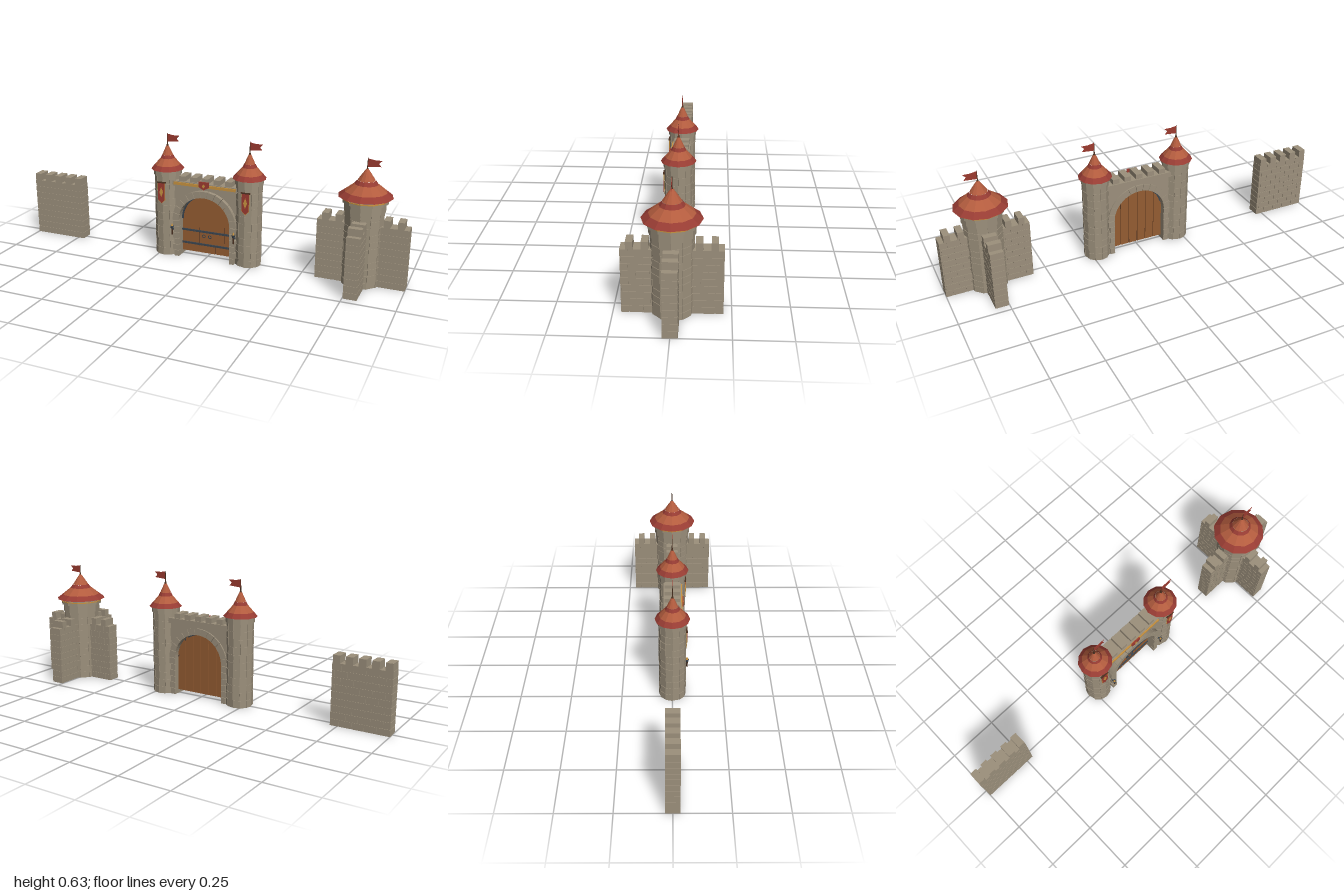
import * as THREE from 'three';
import { mergeGeometries } from 'three/addons/utils/BufferGeometryUtils.js';

const mat = (name, color, extra = {}) => new THREE.MeshStandardMaterial({ name, color, ...extra });

export function createModel() {
  const stone = mat('stone', 0x9c907c);
  const roofTile = mat('roofTile', 0xb35c3e);
  const roofBand = mat('roofBand', 0x973c33);
  const cloth = mat('cloth', 0x9c3b30, { side: THREE.DoubleSide });
  const wood = mat('wood', 0x945c32);
  const iron = mat('iron', 0x3c4650);
  const gold = mat('gold', 0xc8923f);
  const darkWood = mat('darkWood', 0x4a3020);

  const root = new THREE.Group();
  root.name = 'castleSet';

  const add = (parent, name, geo, material, x = 0, y = 0, z = 0) => {
    const m = new THREE.Mesh(geo, material);
    m.name = name;
    m.position.set(x, y, z);
    parent.add(m);
    return m;
  };
  const group = (parent, name, x = 0) => {
    const g = new THREE.Group();
    g.name = name;
    g.position.x = x;
    parent.add(g);
    return g;
  };
  const flat = (geo) => {
    const g = geo.index ? geo.toNonIndexed() : geo;
    g.computeVertexNormals();
    return g;
  };
  const box = (x0, x1, y0, y1, z0, z1) =>
    new THREE.BoxGeometry(x1 - x0, y1 - y0, z1 - z0).translate((x0 + x1) / 2, (y0 + y1) / 2, (z0 + z1) / 2);
  const drum = (r, y0, y1) => flat(new THREE.CylinderGeometry(r, r, y1 - y0, 12)).translate(0, (y0 + y1) / 2, 0);
  const extrude = (shape, depth, z = 0) =>
    new THREE.ExtrudeGeometry(shape, { depth, bevelEnabled: false, curveSegments: 16 }).translate(0, 0, z);
  const poly = (pts) => new THREE.Shape(pts.map(([x, y]) => new THREE.Vector2(x, y)));

  const T = 0.032, H = 0.298;

  // Staggered brick courses around a slightly smaller core, from x0 to x1
  function brickWall(x0, x1) {
    const rows = 9, h = H / rows, bw = 0.06, gap = 0.0015, inset = 0.0025;
    const parts = [box(x0 + inset, x1 - inset, 0, H - 0.001, -T + inset, T - inset)];
    for (let r = 0; r < rows; r++) {
      for (let x = x0 - (r % 2) * bw / 2; x < x1 - 0.004; x += bw) {
        const a = Math.max(x, x0), b = Math.min(x + bw, x1);
        const ga = a > x0 ? gap : 0, gb = b < x1 ? gap : 0;
        parts.push(box(a + ga, b - gb, r * h + (r ? gap : 0), (r + 1) * h - (r < rows - 1 ? gap : 0), -T, T));
      }
    }
    return mergeGeometries(parts);
  }
  const merlons = (centres, w, y0, y1, t) =>
    mergeGeometries(centres.map((c) => box(c - w / 2, c + w / 2, y0, y1, -t, t)));

  // Faceted shaft with raised stones on each facet
  function shaft(r, top, seed) {
    const courses = 11, h = top / courses, n = 12;
    const parts = [drum(r - 0.002, 0, top).deleteAttribute('uv')];
    const apothem = r * Math.cos(Math.PI / n), w = 2 * r * Math.sin(Math.PI / n);
    for (let c = 0; c < courses; c++) {
      for (let k = 0; k < n; k++) {
        if ((c * 5 + k * 7 + seed) % 4 === 0) continue;
        const s = box(-w / 2 + 0.001, w / 2 - 0.001, c * h + (c ? 0.0015 : 0), (c + 1) * h - 0.0015, apothem - 0.004, apothem + 0.0005);
        parts.push(s.rotateY((k + 0.5) * 2 * Math.PI / n).toNonIndexed().deleteAttribute('uv'));
      }
    }
    return mergeGeometries(parts);
  }

  // Flared conical roof in coloured bands, with finial and swallowtail flag
  function roof(parent, y, sr, sy) {
    const g = group(parent, 'roof');
    g.position.y = y;
    const bands = [
      ['roofEave', roofBand, [[0, 0], [0.128, 0], [0.098, 0.023]]],
      ['roofLower', roofTile, [[0.098, 0.023], [0.054, 0.058]]],
      ['roofStripe', roofBand, [[0.055, 0.057], [0.042, 0.075]]],
      ['roofUpper', roofTile, [[0.041, 0.075], [0.031, 0.09], [0.018, 0.11], [0.007, 0.125], [0, 0.132]]],
    ];
    for (const [name, m, pts] of bands) {
      const p = pts.map(([r, h]) => new THREE.Vector2(r * sr, h * sy));
      add(g, name, flat(new THREE.LatheGeometry(p, 12)), m);
    }
    add(g, 'finial', new THREE.CylinderGeometry(0.002, 0.008, 0.02, 8), darkWood, 0, 0.132 * sy - 0.006, 0);
    add(g, 'flagPole', new THREE.CylinderGeometry(0.0012, 0.003, 0.06, 6), darkWood, 0, 0.15, 0);
    const f = poly([[0, 0.138], [0.062, 0.143], [0.05, 0.157], [0.065, 0.172], [0.03, 0.172], [0, 0.177]]);
    add(g, 'flag', extrude(f, 0.002, -0.001), cloth);
  }

  // Free-standing wall segment
  const wall = group(root, 'wallSegment', -0.8575);
  add(wall, 'wallBricks', brickWall(-0.1425, 0.1425), stone);
  add(wall, 'wallMerlons', merlons([-2, -1, 0, 1, 2].map((i) => i * 0.0615), 0.035, H, 0.335, T), stone);

  // Corner tower with four wall stubs
  const tower = group(root, 'cornerTower', 0.785);
  add(tower, 'towerShaft', shaft(0.093, 0.365, 1), stone);
  add(tower, 'towerHead', drum(0.098, 0.362, 0.404), stone);
  add(tower, 'towerCollar', drum(0.107, 0.402, 0.415), stone);
  add(tower, 'towerGoldBand', drum(0.108, 0.415, 0.42), gold);
  add(tower, 'towerCap', drum(0.104, 0.42, 0.43), stone);
  roof(tower, 0.43, 1, 1);
  for (let i = 0; i < 4; i++) {
    const wing = group(tower, 'wallStub');
    wing.rotation.y = i * Math.PI / 2;
    add(wing, 'stubBricks', brickWall(0.06, 0.215), stone);
    add(wing, 'stubMerlons', merlons([0.112, 0.176], 0.03, H, 0.333, T), stone);
  }

  // Gatehouse
  const gate = group(root, 'gatehouse');
  const R = 0.137, RO = 0.17, SPRING = 0.193;
  const opening = poly([[-0.19, 0], [-R, 0], [-R, SPRING]]);
  opening.absarc(0, SPRING, R, Math.PI, 0, true);
  [[R, 0], [0.19, 0], [0.19, 0.378], [-0.19, 0.378]].forEach(([x, y]) => opening.lineTo(x, y));
  add(gate, 'gateWall', extrude(opening, 0.07, -0.035), stone);
  add(gate, 'gateCornice', box(-0.18, 0.18, 0.372, 0.399, -0.044, 0.044), stone);
  add(gate, 'gateGoldBand', box(-0.165, 0.165, 0.381, 0.395, 0.044, 0.05), gold);
  add(gate, 'gateMerlons', merlons([-2, -1, 0, 1, 2].map((i) => i * 0.062), 0.034, 0.399, 0.424, 0.038), stone);

  // Arch stones and jambs, on both faces
  const archStones = [];
  const N = 13;
  for (let i = 0; i < N; i++) {
    const a0 = (i / N) * Math.PI + 0.006, a1 = ((i + 1) / N) * Math.PI - 0.006;
    const s = new THREE.Shape();
    s.absarc(0, SPRING, RO, a0, a1, false);
    s.absarc(0, SPRING, R, a1, a0, true);
    archStones.push(new THREE.ExtrudeGeometry(s, { depth: 0.098, bevelEnabled: false, curveSegments: 3 }).translate(0, 0, -0.042));
  }
  add(gate, 'archStones', mergeGeometries(archStones), stone);
  const jambs = [];
  for (const s of [-1, 1]) {
    for (let i = 0; i < 6; i++) {
      const a = s * R, b = s * (i % 2 ? 0.169 : 0.162);
      jambs.push(box(Math.min(a, b), Math.max(a, b), i * 0.032 + 0.001, (i + 1) * 0.032 - 0.001, -0.042, 0.056));
    }
  }
  add(gate, 'archJambs', mergeGeometries(jambs), stone);

  // Arched plank door with dark backing showing through the joints
  const door = group(gate, 'door');
  const archTop = (x, r) => SPRING + Math.sqrt(Math.max(0, r * r - x * x));
  const archPanel = (x0, x1, r) => {
    const pts = [[x0, 0.02], [x1, 0.02]];
    for (let k = 0; k <= 8; k++) {
      const x = x1 + (x0 - x1) * k / 8;
      pts.push([x, archTop(x, r)]);
    }
    return poly(pts);
  };
  const pw = 2 * R / 6;
  for (let i = 0; i < 6; i++) {
    const x0 = -R + i * pw;
    add(door, 'plank', extrude(archPanel(x0 + 0.0015, x0 + pw - 0.0015, R), 0.02, -0.012), wood);
  }
  const backing = archPanel(-R, R, R - 0.002);
  add(door, 'doorBacking', extrude(backing, 0.008, -0.006), darkWood);
  const trim = new THREE.Shape();
  trim.absarc(0, SPRING, R, 0, Math.PI, false);
  trim.absarc(0, SPRING, R - 0.007, Math.PI, 0, true);
  add(door, 'doorArchTrim', extrude(trim, 0.026, -0.012), iron);
  for (const y of [0.065, 0.135]) add(door, 'doorStrap', box(-R, R, y - 0.005, y + 0.005, 0.008, 0.013), iron);
  for (const s of [-1, 1]) {
    add(door, 'doorRing', new THREE.TorusGeometry(0.008, 0.002, 6, 14), iron, s * 0.016, 0.112, 0.013);
    for (const y of [0.065, 0.135]) {
      for (const x of [0.03, 0.07, 0.11]) add(door, 'strapStud', new THREE.SphereGeometry(0.003, 6, 4), iron, s * x, y, 0.013);
    }
  }

  // Shield over the arch
  const shield = (w, h) => poly([[-w, h], [w, h], [w, -h * 0.3], [0, -h], [-w, -h * 0.3]]);
  const crest = group(gate, 'crest');
  crest.position.set(0, 0.392, 0.05);
  add(crest, 'crestShield', extrude(shield(0.026, 0.021), 0.006), cloth);
  add(crest, 'crestDiamond', extrude(poly([[0, -0.011], [0.008, 0], [0, 0.011], [-0.008, 0]]), 0.002, 0.006), gold);

  // Flanking towers, banners and torches
  for (const s of [-1, 1]) {
    const t = group(gate, s > 0 ? 'leftGateTower' : 'rightGateTower', s * 0.219);
    add(t, 'gateTowerShaft', shaft(0.066, 0.42, s + 2), stone);
    add(t, 'gateTowerCollar', drum(0.071, 0.418, 0.448), stone);
    roof(t, 0.447, 0.65, 0.95);

    const b = group(t, 'banner', -s * -0.005);
    b.position.z = 0.067;
    add(b, 'bannerRod', box(-0.023, 0.023, 0.386, 0.391, -0.004, 0.005), darkWood);
    add(b, 'bannerTrim', extrude(poly([[-0.02, 0.387], [-0.02, 0.297], [0, 0.277], [0.02, 0.297], [0.02, 0.387]]), 0.002), gold);
    add(b, 'bannerCloth', extrude(poly([[-0.018, 0.386], [-0.018, 0.298], [0, 0.28], [0.018, 0.298], [0.018, 0.386]]), 0.002, 0.001), cloth);
    add(b, 'bannerDiamond', extrude(poly([[0, 0.312], [0.01, 0.338], [0, 0.364], [-0.01, 0.338]]), 0.002, 0.003), gold);

    const torch = group(gate, 'torch', s * 0.166);
    torch.position.z = 0.07;
    add(torch, 'torchBracket', box(-0.003, 0.003, 0.142, 0.148, -0.02, 0.003), iron);
    add(torch, 'torchHandle', new THREE.CylinderGeometry(0.005, 0.003, 0.04, 8), darkWood, 0, 0.14, 0.002);
    add(torch, 'torchCup', new THREE.CylinderGeometry(0.01, 0.006, 0.014, 8), iron, 0, 0.16, 0.002);
    add(torch, 'torchFlame', new THREE.ConeGeometry(0.007, 0.018, 8), gold, 0, 0.174, 0.002);
  }
  return root;
}
